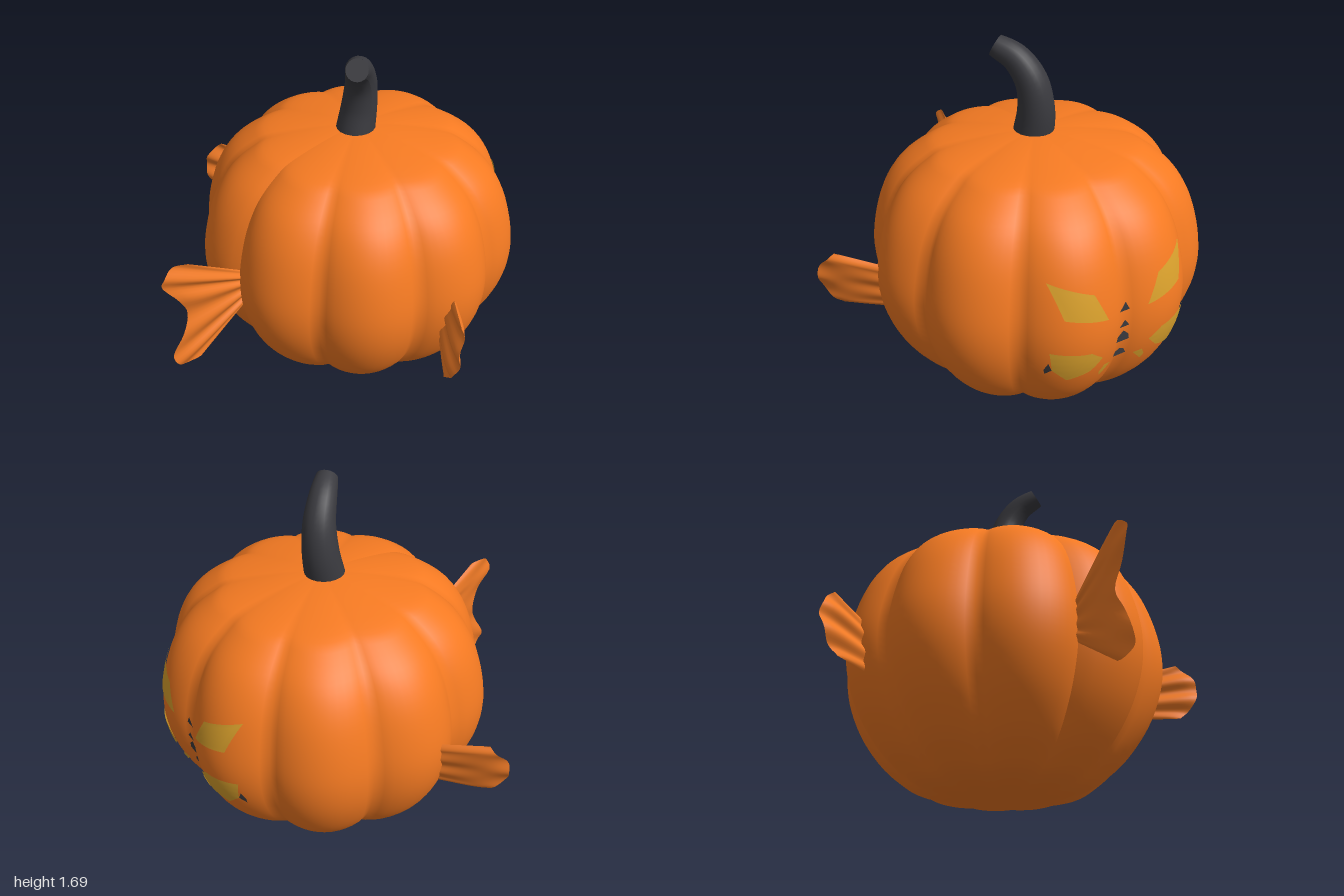
import * as THREE from 'three';

const CENTER_Z = -0.175;
const mat = (color, side = THREE.FrontSide) => new THREE.MeshStandardMaterial({ color, side, roughness: 0.8 });
const orange = mat(0xf57a22);
const orangeFin = mat(0xf07a26, THREE.DoubleSide);
const dark = mat(0x3a3a3f, THREE.DoubleSide);
const yellow = mat(0xd9a02c, THREE.DoubleSide);
const v2 = ([x, y]) => new THREE.Vector2(x, y);

// Body outline as [radius, height], bottom to top
const profile = new THREE.SplineCurve([
  [0.001, 0.005], [0.2, 0.015], [0.39, 0.05], [0.5, 0.115], [0.6, 0.205], [0.7, 0.345], [0.765, 0.5],
  [0.788, 0.65], [0.772, 0.8], [0.72, 0.97], [0.64, 1.1], [0.53, 1.19], [0.43, 1.235], [0.2, 1.27], [0.001, 1.28],
].map(v2)).getPoints(56);

// Ten lobes with grooves between them
const lobe = (angle) => 1 - 0.085 * (1 - Math.pow(Math.abs(Math.cos(5 * angle)), 0.8));

function radiusAt(y) {
  const i = Math.max(1, profile.findIndex((p) => p.y >= y));
  const a = profile[i - 1], b = profile[i];
  return a.x + ((b.x - a.x) * (y - a.y)) / (b.y - a.y);
}

// Depth of the body's back surface at a given x and y
function backZ(x, y) {
  const r0 = radiusAt(y);
  let z = -r0;
  for (let i = 0; i < 8; i++) {
    const r = r0 * lobe(Math.atan2(z, x));
    z = -Math.sqrt(Math.max(0, r * r - x * x));
  }
  return z + CENTER_Z;
}

function add(parent, name, geometry, material) {
  const mesh = new THREE.Mesh(geometry, material);
  mesh.name = name;
  parent.add(mesh);
  return mesh;
}

function body() {
  const g = new THREE.LatheGeometry(profile, 120);
  const p = g.attributes.position;
  for (let i = 0; i < p.count; i++) {
    const x = p.getX(i), z = p.getZ(i), k = lobe(Math.atan2(z, x));
    p.setXYZ(i, x * k, p.getY(i), z * k);
  }
  g.computeVertexNormals();
  return g.translate(0, 0, CENTER_Z);
}

// Bent stem: a tube whose rings narrow towards the tip
function stem(parent) {
  const path = new THREE.CatmullRomCurve3([
    [0, 1.24, -0.155], [0, 1.38, -0.178], [0.02, 1.51, -0.168], [0.065, 1.605, -0.115], [0.13, 1.655, -0.045],
  ].map((a) => new THREE.Vector3(...a)));
  const rings = 20, sides = 20;
  const g = new THREE.TubeGeometry(path, rings, 1, sides);
  const p = g.attributes.position, v = new THREE.Vector3();
  for (let i = 0; i < p.count; i++) {
    const t = Math.floor(i / (sides + 1)) / rings;
    const c = path.getPointAt(t);
    v.fromBufferAttribute(p, i).sub(c).multiplyScalar(0.05 + 0.045 * Math.pow(1 - t, 0.8)).add(c);
    p.setXYZ(i, v.x, v.y, v.z);
  }
  g.computeVertexNormals();
  add(parent, 'stem', g, dark);
  const cap = add(parent, 'stemTip', new THREE.CircleGeometry(0.05, sides), dark);
  cap.position.copy(path.getPointAt(1));
  cap.quaternion.setFromUnitVectors(new THREE.Vector3(0, 0, 1), path.getTangentAt(1));
}

// Rippled fin between a root line and a curved rim; place(along, y, offset) puts it in space
function fin(parent, name, rootTop, rootBottom, rim, thickness, ripples, place) {
  const group = new THREE.Group();
  group.name = name;
  parent.add(group);
  const curve = new THREE.SplineCurve(rim.map(v2));
  const top = v2(rootTop), bottom = v2(rootBottom);
  for (const side of [1, -1]) {
    const g = new THREE.PlaneGeometry(1, 1, 40, 12);
    const p = g.attributes.position;
    for (let i = 0; i < p.count; i++) {
      const u = p.getX(i) + 0.5, v = p.getY(i) + 0.5;
      const q = top.clone().lerp(bottom, u).lerp(curve.getPoint(u), v);
      const edge = Math.min(1, 8 * Math.min(u, 1 - u)) * (1 - Math.pow(v, 6));
      const wave = Math.cos(u * Math.PI * 2 * ripples);
      const offset = thickness * (side * edge * (0.65 + 0.25 * wave) + 0.3 * v * wave);
      p.setXYZ(i, ...place(q.x, q.y, offset));
    }
    g.computeVertexNormals();
    add(group, side > 0 ? 'finFace' : 'finBack', g, orangeFin);
  }
}

// Four-cornered patch laid over the back of the body
function patch(parent, name, corners, material, side, lift = 0.007) {
  const [a, b, c, d] = corners.map(v2);
  const g = new THREE.PlaneGeometry(1, 1, 8, 8);
  const p = g.attributes.position;
  for (let i = 0; i < p.count; i++) {
    const u = p.getX(i) + 0.5, v = p.getY(i) + 0.5;
    const q = a.clone().lerp(b, u).lerp(d.clone().lerp(c, u), v);
    p.setXYZ(i, side * q.x, q.y, backZ(q.x, q.y) - lift);
  }
  g.computeVertexNormals();
  add(parent, name, g, material);
}

// Flat triangle bridging the middle groove
function grooveTriangle(parent, y, halfWidth, height) {
  const s = new THREE.Shape([[-halfWidth, 0], [halfWidth, 0], [0, height]].map(v2));
  const mesh = add(parent, 'grooveTriangle', new THREE.ShapeGeometry(s), dark);
  mesh.position.set(0, y, backZ(0, y) - 0.018);
}

export function createModel() {
  const model = new THREE.Group();
  model.name = 'pumpkinFish';
  add(model, 'body', body(), orange);
  stem(model);

  // Forked tail
  fin(model, 'tail', [0.48, 0.72], [0.48, 0.58], [
    [0.8, 0.95], [0.87, 0.96], [0.92, 0.925], [0.93, 0.87], [0.87, 0.77], [0.83, 0.66],
    [0.87, 0.56], [0.93, 0.45], [0.92, 0.39], [0.87, 0.355], [0.8, 0.365],
  ], 0.022, 5, (a, y, o) => [o, y, a]);

  // Side fins swept towards the tail
  for (const side of [1, -1]) {
    fin(model, side > 0 ? 'leftFin' : 'rightFin', [0.7, 0.735], [0.7, 0.49], [
      [0.93, 0.79], [0.965, 0.75], [0.995, 0.68], [0.99, 0.61], [0.95, 0.53], [0.9, 0.48],
    ], 0.03, 3, (a, y, o) => [side * (a - 0.3 * o), y, (a - 0.76) * 0.8 - 0.08 - (y - 0.64) * 0.2 + o]);
  }

  // Carved face on the back
  const face = new THREE.Group();
  face.name = 'face';
  model.add(face);
  for (const side of [1, -1]) {
    patch(face, 'eye', [[0.1, 0.76], [0.29, 0.8], [0.33, 0.95], [0.16, 0.89]], yellow, side);
    patch(face, 'mouthInner', [[0.12, 0.57], [0.17, 0.51], [0.265, 0.47], [0.18, 0.62]], yellow, side);
    patch(face, 'mouthOuter', [[0.18, 0.62], [0.265, 0.47], [0.33, 0.54], [0.345, 0.64]], yellow, side);
    patch(face, 'mouthCorner', [[0.33, 0.54], [0.35, 0.51], [0.355, 0.54], [0.345, 0.58]], dark, side);
    patch(face, 'mouthSliver', [[0.06, 0.5], [0.11, 0.44], [0.12, 0.47], [0.1, 0.51]], yellow, side);
  }
  grooveTriangle(face, 0.75, 0.025, 0.045);
  grooveTriangle(face, 0.67, 0.025, 0.035);
  grooveTriangle(face, 0.59, 0.055, 0.055);
  grooveTriangle(face, 0.5, 0.075, 0.035);
  return model;
}
